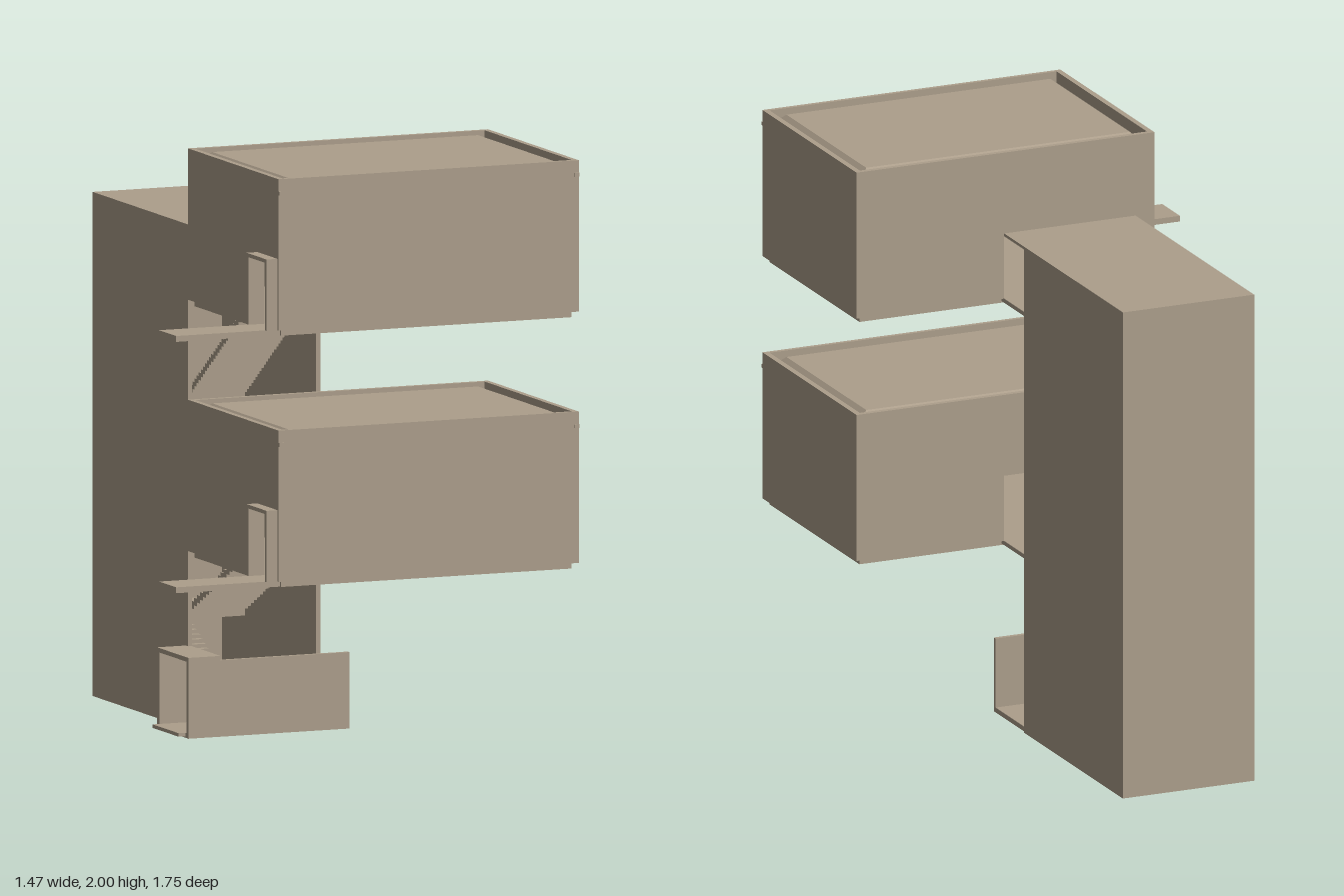
import * as THREE from 'three';

const stone = new THREE.MeshStandardMaterial({ color: 0xac9e8b });
stone.name = 'warm stone';

// Axis-aligned box given by its limits
function slab(parent, name, x0, x1, y0, y1, z0, z1) {
  const mesh = new THREE.Mesh(new THREE.BoxGeometry(x1 - x0, y1 - y0, z1 - z0), stone);
  mesh.position.set((x0 + x1) / 2, (y0 + y1) / 2, (z0 + z1) / 2);
  mesh.name = name;
  parent.add(mesh);
  return mesh;
}

function group(parent, name) {
  const g = new THREE.Group();
  g.name = name;
  parent.add(g);
  return g;
}

// Stepped flight running between two depths; the soffit is stepped too
function flight(parent, name, x0, x1, y0, y1, z0, z1, count) {
  const g = group(parent, name);
  const rise = (y1 - y0) / count, run = (z1 - z0) / count;
  for (let i = 0; i < count; i++) {
    const a = z0 + run * i, b = a + run;
    const top = y0 + rise * (i + 1);
    slab(g, 'step', x0, x1, Math.max(0.005, top - 2 * rise), top, Math.min(a, b), Math.max(a, b));
  }
}

// Raised roof panel with bevelled sides
function roofPanel(parent, x0, x1, z0, z1, y0, y1, inset) {
  const geo = new THREE.BoxGeometry(x1 - x0, y1 - y0, z1 - z0);
  const p = geo.attributes.position;
  for (let i = 0; i < p.count; i++) {
    if (p.getY(i) > 0) {
      p.setX(i, p.getX(i) - Math.sign(p.getX(i)) * inset);
      p.setZ(i, p.getZ(i) - Math.sign(p.getZ(i)) * inset);
    }
  }
  geo.computeVertexNormals();
  const mesh = new THREE.Mesh(geo, stone);
  mesh.position.set((x0 + x1) / 2, (y0 + y1) / 2, (z0 + z1) / 2);
  mesh.name = 'roofPanel';
  parent.add(mesh);
}

// One cantilevered room; y is its floor level
function room(parent, y) {
  const g = group(parent, 'room');
  const top = y + 0.515, door = y + 0.23;
  // floor, bridge to the stair tower and side plank
  slab(g, 'floor', -0.355, 0.71, y - 0.02, y, 0.12, 0.855);
  slab(g, 'bridge', -0.30, 0.185, y - 0.015, y, -0.06, 0.12);
  slab(g, 'sidePlank', -0.735, -0.355, y - 0.02, y, 0.70, 0.845);
  // outer walls
  slab(g, 'frontWall', -0.35, 0.71, y, top, 0.855, 0.87);
  slab(g, 'leftWall', 0.71, 0.73, y, top, 0.10, 0.87);
  // back wall around the bridge doorway
  slab(g, 'backWall', -0.35, -0.30, y, top, 0.10, 0.118);
  slab(g, 'backWall', 0.185, 0.71, y, top, 0.10, 0.118);
  slab(g, 'backWall', -0.30, 0.185, door, top, 0.10, 0.118);
  // right wall around the side doorway
  slab(g, 'rightWall', -0.37, -0.35, y, top, 0.10, 0.705);
  slab(g, 'rightWall', -0.37, -0.35, y, top, 0.845, 0.87);
  slab(g, 'rightWall', -0.37, -0.35, door, top, 0.705, 0.845);
  // doorway portal
  slab(g, 'portalJamb', -0.41, -0.37, y, y + 0.243, 0.69, 0.705);
  slab(g, 'portalJamb', -0.41, -0.37, y, y + 0.243, 0.845, 0.86);
  slab(g, 'portalHead', -0.41, -0.37, door, y + 0.243, 0.705, 0.845);
  // roof inside the parapet, with small spouts at the front corners
  roofPanel(g, -0.35, 0.71, 0.118, 0.855, top - 0.05, top - 0.008, 0.043);
  for (const x of [-0.37, 0.712])
    slab(g, 'spout', x, x + 0.018, top - 0.055, top - 0.042, 0.868, 0.875);
}

export function createModel() {
  const model = new THREE.Group();
  model.name = 'stairTowerHouse';
  const floors = [0.63, 1.485];

  // stair tower, open at the front and underneath
  const tower = group(model, 'stairTower');
  slab(tower, 'towerRightWall', -0.30, -0.285, 0, 1.705, -0.87, -0.06);
  slab(tower, 'towerLeftWall', 0.168, 0.185, 0, 1.705, -0.87, -0.06);
  slab(tower, 'towerBackWall', -0.285, 0.168, 0, 1.705, -0.87, -0.855);
  slab(tower, 'towerRoof', -0.30, 0.185, 1.705, 1.715, -0.87, 0.10);

  // stairs: back on one side, landing, forward on the other
  const stairs = group(model, 'stairs');
  const levels = [[0.02, 0.325, 0.63, 24], [0.63, 1.06, 1.485, 34]];
  for (const [low, mid, high, count] of levels) {
    flight(stairs, 'lowerFlight', -0.285, -0.07, low, mid, -0.07, -0.66, count);
    slab(stairs, 'landing', -0.285, 0.168, mid - 0.05, mid - 0.01, -0.855, -0.66);
    flight(stairs, 'upperFlight', -0.04, 0.168, mid - 0.01, high, -0.66, -0.06, count);
  }

  // ground-level entrance passage, open at both ends
  const passage = group(model, 'entrancePassage');
  slab(passage, 'passageFloor', -0.405, 0.185, 0.005, 0.022, -0.06, 0.17);
  slab(passage, 'passageFrontWall', -0.405, 0.185, 0.005, 0.265, 0.17, 0.185);
  slab(passage, 'passageRoof', -0.405, -0.287, 0.265, 0.28, -0.06, 0.185);
  slab(passage, 'passageBackWall', -0.405, -0.30, 0.005, 0.28, -0.08, -0.06);
  slab(passage, 'doorstep', -0.43, -0.405, 0.01, 0.022, -0.06, 0.16);

  floors.forEach((y) => room(model, y));
  return model;
}
